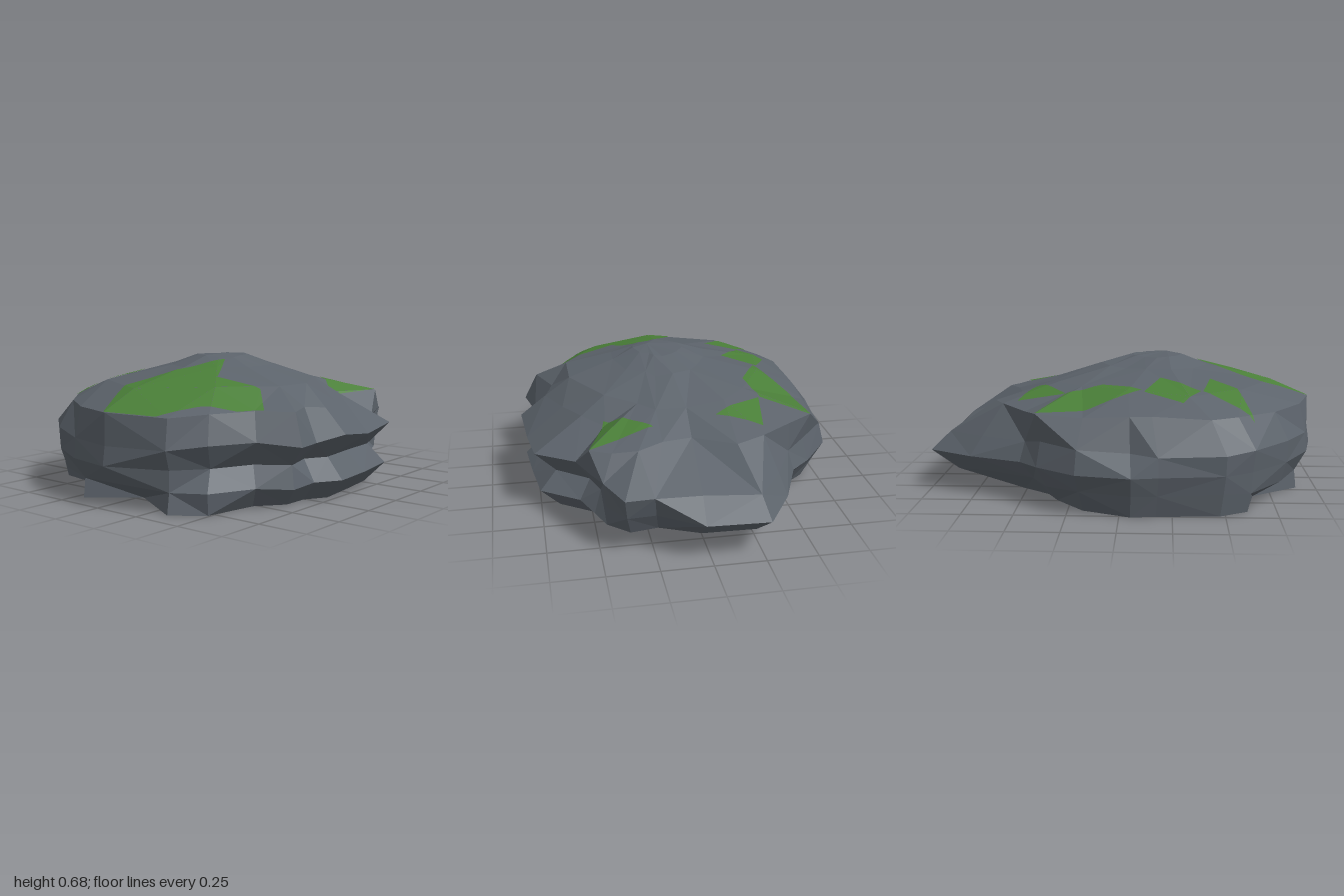
import * as THREE from 'three';

// plan outline: [angle in degrees from +x towards +z, radius]
const OUTLINE = [
  [2, .99], [16, .915], [24, .96], [33, .896], [41, .8], [51, .746], [67, .838],
  [85, .803], [102, .845], [112, .81], [121.5, .94], [134, .87], [148, .943],
  [159, .995], [178, 1], [193, .975], [210, .95], [227, .94], [237, .926],
  [257, .83], [266, .832], [285, .8], [303, .743], [314, .72], [332, .87], [345, 1.033],
];

// layers: height, centre, jitter, outline fraction every 45 degrees, column step,
// and single columns that bulge or dip away from that fraction
const LAYERS = [
  { y: 0, c: [0, 0], j: 0, f: [.55, .84, .86, .86, .9, .95, .92, .74], step: 1, bumps: { 10: .8, 12: .98, 13: .965, 14: .72, 15: .945, 16: .8 } },
  { y: .1, c: [0, 0], j: .012, f: [.86, .97, .98, .96, .92, .97, .96, .88], step: 1, bumps: { 10: .89, 12: 1 } },
  { y: .2, c: [0, 0], j: 0, f: [1, .88, .85, .87, 1, .98, 1, 1], step: 1, bumps: { 2: .97, 3: .95 } },
  { y: .31, c: [0, 0], j: .02, f: [.88, 1, 1, .98, .98, 1, .97, .95], step: 1, bumps: { 1: 1, 2: 1, 20: .87 } },
  { y: .45, c: [0, 0], j: .012, f: [.53, .96, .8, .92, .98, .88, .79, .95], step: 1, bumps: { 3: .86, 4: .995, 5: .72, 6: .68, 7: .76, 10: .9, 22: 1 } },
  { y: .54, c: [0, 0], j: .012, f: [.37, .48, .66, .71, .78, .7, .53, .5], step: 2, bumps: { 6: .52 } },
  { y: .615, c: [-.1, .03], j: .008, f: [.23, .27, .34, .36, .34, .3, .24, .23], step: 2, bumps: {} },
  { y: .663, c: [-.16, .06], j: .005, f: [.12, .13, .17, .17, .14, .14, .15, .13], step: 2, bumps: {} },
];

// convex moss patches in plan (x, z)
const PATCHES = [
  [[-.98, .03], [-.72, -.09], [-.5, .03], [-.29, .18], [-.48, .29], [-.74, .4], [-.95, .25]],
  [[-.48, .29], [-.43, .51], [-.55, .63], [-.74, .4]],
  [[-.64, -.57], [-.4, -.43], [-.44, -.25], [-.57, -.35]],
  [[-.3, -.56], [-.11, -.47], [-.19, -.29], [-.39, -.43]],
  [[-.1, -.45], [.16, -.585], [.41, -.62], [.28, -.39], [.1, -.34]],
  [[.28, -.38], [.53, -.34], [.45, -.12]],
  [[.5, .2], [.6, .52], [.31, .42]],
];

const noise = (i, k) => {
  const s = Math.sin(i * 12.9898 + k * 78.233) * 43758.5453;
  return (s - Math.floor(s)) * 2 - 1;
};

function layerPoints(layer, k) {
  const pts = [];
  for (let i = 0; i < OUTLINE.length; i += layer.step) {
    const [deg, r] = OUTLINE[i];
    const t = deg / 45, n = Math.floor(t);
    const f = layer.bumps[i] ?? THREE.MathUtils.lerp(layer.f[n % 8], layer.f[(n + 1) % 8], t - n);
    const a = THREE.MathUtils.degToRad(deg);
    pts.push(new THREE.Vector3(
      layer.c[0] + Math.cos(a) * r * f,
      layer.y + noise(i, k) * layer.j,
      layer.c[1] + Math.sin(a) * r * f));
  }
  return pts;
}

// skin between neighbouring layers, with caps below and above
function rockTriangles() {
  const rings = LAYERS.map(layerPoints);
  const tris = [];
  for (let k = 0; k + 1 < rings.length; k++) {
    const lo = rings[k], hi = rings[k + 1], n = hi.length;
    const ratio = lo.length / n;
    for (let i = 0; i < n; i++) {
      const j = (i + 1) % n;
      const l = s => lo[(i * ratio + s) % lo.length];
      if (ratio === 2) {
        tris.push([l(0), hi[i], l(1)], [l(1), hi[i], hi[j]], [l(1), hi[j], l(2)]);
      } else if ((i + k) % 2) {
        tris.push([l(0), hi[i], l(1)], [l(1), hi[i], hi[j]]);
      } else {
        tris.push([l(0), hi[i], hi[j]], [l(0), hi[j], l(1)]);
      }
    }
  }
  const cap = (ring, centre, up) => ring.forEach((p, i) => {
    const q = ring[(i + 1) % ring.length];
    tris.push(up ? [p, centre, q] : [q, centre, p]);
  });
  cap(rings[0], new THREE.Vector3(0, 0, 0), false);
  cap(rings[rings.length - 1], new THREE.Vector3(-.22, .676, .12), true);
  return tris;
}

// keep the part of a polygon that lies inside a convex plan patch
function clip(poly, patch) {
  patch.forEach(([ax, az], e) => {
    const [bx, bz] = patch[(e + 1) % patch.length];
    const side = p => (bx - ax) * (p.z - az) - (bz - az) * (p.x - ax);
    const out = [];
    poly.forEach((p, i) => {
      const q = poly[(i + 1) % poly.length], sp = side(p), sq = side(q);
      if (sp >= 0) out.push(p);
      if (sp * sq < 0) out.push(p.clone().lerp(q, sp / (sp - sq)));
    });
    poly = out;
  });
  return poly;
}

function facetMesh(tris, material, name) {
  const geo = new THREE.BufferGeometry().setFromPoints(tris.flat());
  geo.computeVertexNormals();
  const mesh = new THREE.Mesh(geo, material);
  mesh.name = name;
  return mesh;
}

export function createModel() {
  const stone = new THREE.MeshStandardMaterial({ color: 0x5c636b, flatShading: true });
  stone.name = 'stone grey';
  const green = new THREE.MeshStandardMaterial({ color: 0x4a7f38, flatShading: true });
  green.name = 'moss green';

  const group = new THREE.Group();
  group.name = 'mossyRock';
  const rock = rockTriangles();
  group.add(facetMesh(rock, stone, 'rock'));

  // moss follows the gently sloping upper facets, lifted slightly off the stone
  const normalOf = t => new THREE.Triangle(...t).getNormal(new THREE.Vector3());
  const upper = rock.filter(t => normalOf(t).y > .5 && Math.max(...t.map(p => p.y)) > .4);
  PATCHES.forEach((patch, m) => {
    const tris = [];
    for (const t of upper) {
      const lift = normalOf(t).multiplyScalar(.004);
      const p = clip(t, patch).map(v => v.clone().add(lift));
      for (let i = 1; i + 1 < p.length; i++) tris.push([p[0], p[i], p[i + 1]]);
    }
    group.add(facetMesh(tris, green, `mossPatch${m + 1}`));
  });
  return group;
}
